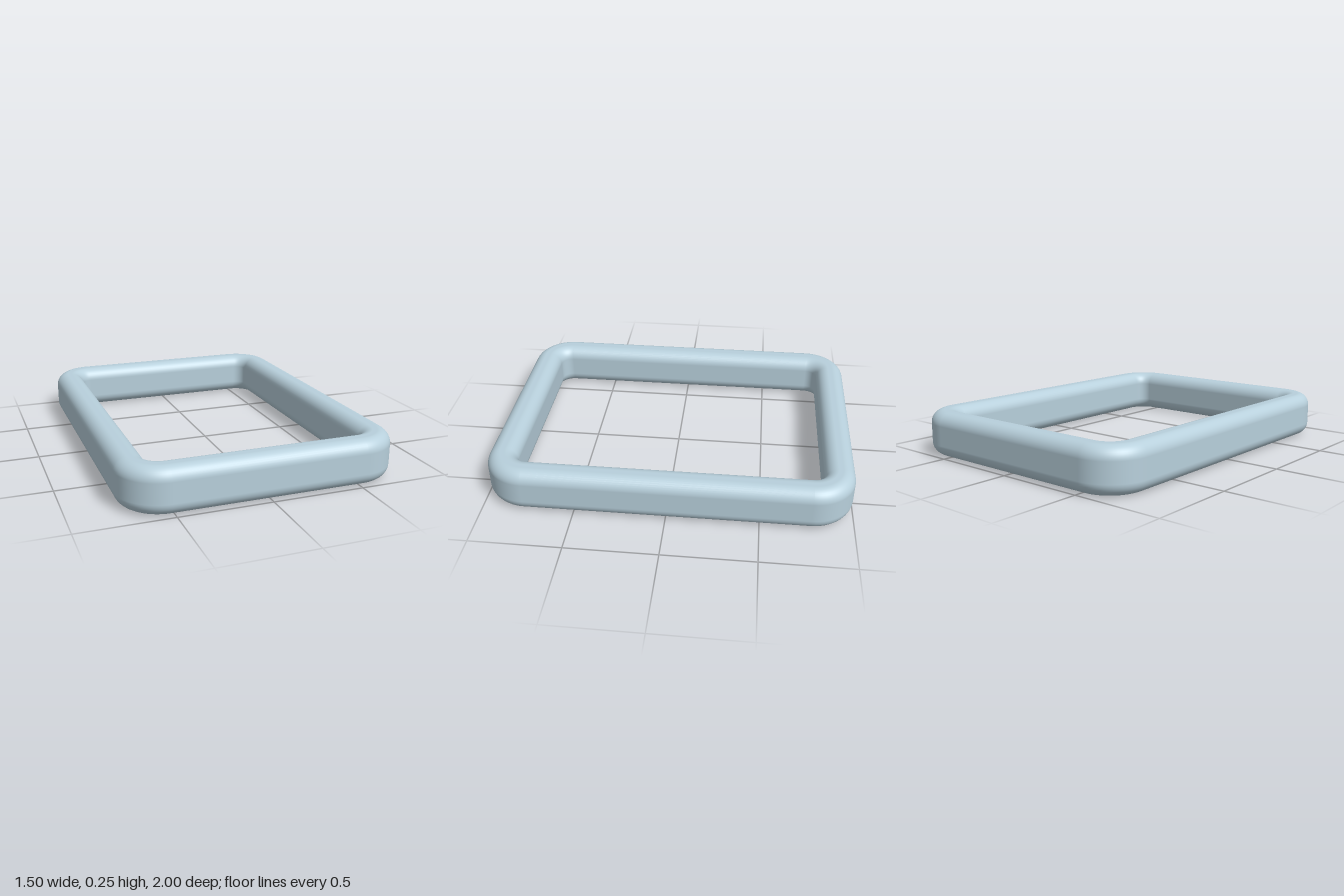
import * as THREE from 'three';

// Rounded rectangle as [x, y, nx, ny] points, counter-clockwise from +x.
// The corner centres sit at (+-cx, +-cy); each corner is an arc of radius r.
function roundedLoop(cx, cy, r, steps) {
  const points = [];
  for (let corner = 0; corner < 4; corner++) {
    const sx = corner === 0 || corner === 3 ? 1 : -1;
    const sy = corner < 2 ? 1 : -1;
    for (let k = 0; k <= steps; k++) {
      const a = (corner + k / steps) * Math.PI / 2;
      const c = Math.cos(a), s = Math.sin(a);
      points.push([sx * cx + r * c, sy * cy + r * s, c, s]);
    }
  }
  return points;
}

// Sweep a section loop around a path loop lying in the xz plane.
function sweepLoop(path, section, centreY) {
  const positions = [], normals = [], indices = [];
  const n = section.length, m = path.length;
  path.forEach(([px, pz, dx, dz], i) => {
    section.forEach(([u, v, nu, nv], j) => {
      positions.push(px + dx * u, centreY + v, pz + dz * u);
      normals.push(dx * nu, nv, dz * nu);
      const j2 = (j + 1) % n, i2 = (i + 1) % m;
      const a = i * n + j, b = i * n + j2, c = i2 * n + j, d = i2 * n + j2;
      indices.push(a, b, c, b, d, c);
    });
  });
  const geometry = new THREE.BufferGeometry();
  geometry.setAttribute('position', new THREE.Float32BufferAttribute(positions, 3));
  geometry.setAttribute('normal', new THREE.Float32BufferAttribute(normals, 3));
  geometry.setIndex(indices);
  return geometry;
}

export function createModel() {
  const halfX = 0.75, halfZ = 1, height = 0.25, width = 0.165;
  const outerRadius = 0.23, edgeRadius = 0.07;

  // Centre line of the frame and the rounded cross-section of its bars
  const path = roundedLoop(halfX - outerRadius, halfZ - outerRadius, outerRadius - width / 2, 16);
  const section = roundedLoop(width / 2 - edgeRadius, height / 2 - edgeRadius, edgeRadius, 10);

  const material = new THREE.MeshStandardMaterial();
  material.color.set(0xb8d0dc);
  const frame = new THREE.Mesh(sweepLoop(path, section, height / 2), material);
  frame.name = 'rectangularRing';

  const model = new THREE.Group();
  model.name = 'roundedFrame';
  model.add(frame);
  return model;
}
